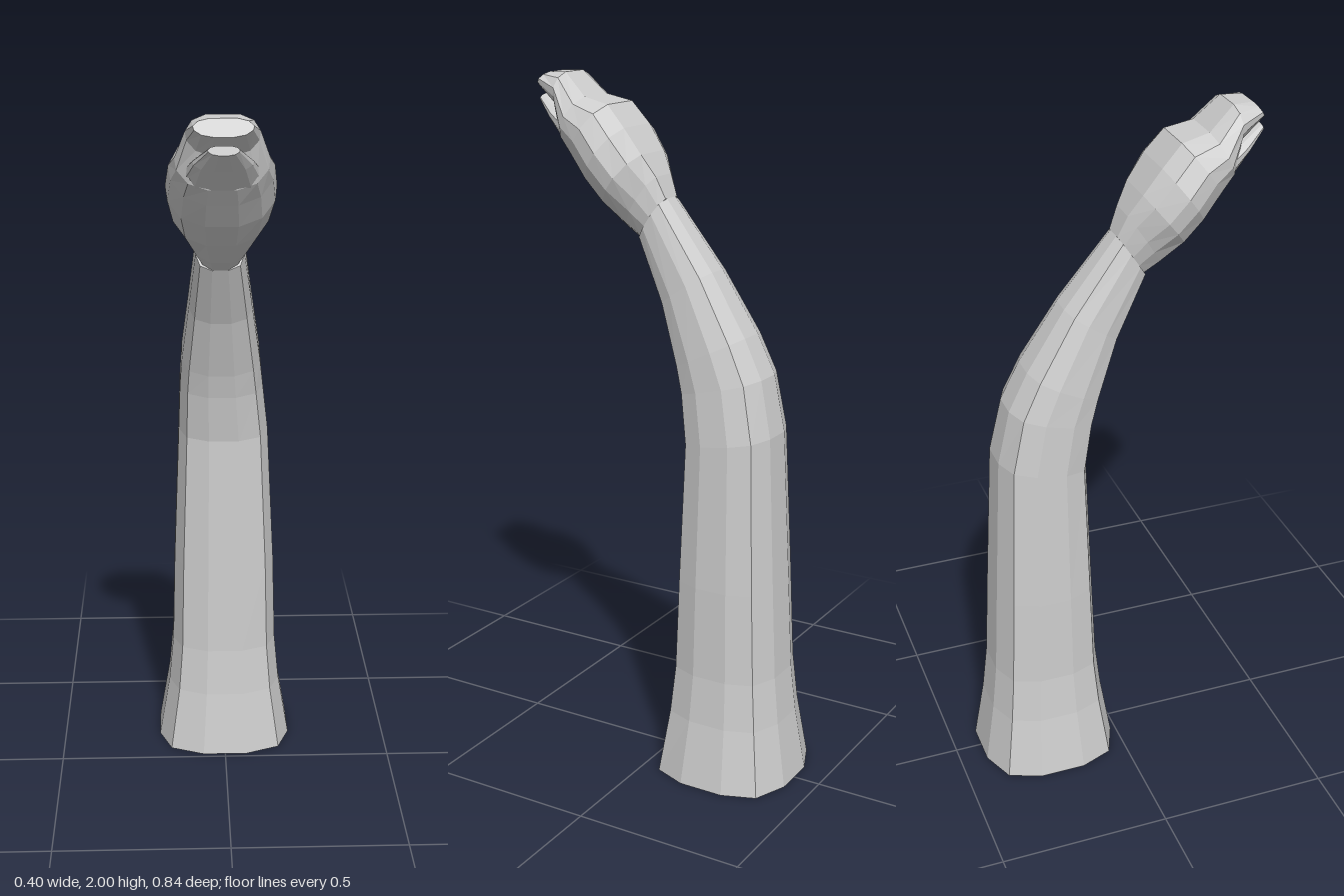
import * as THREE from 'three';

const skin = new THREE.MeshStandardMaterial({ color: 0xcccccc, flatShading: true });
skin.name = 'plain grey';

// Right half of a 12-sided cross-section: [width factor, back-to-front factor]
const neckHalf = [[0.33, 1], [0.82, 0.8], [1, 0.33], [1, -0.33], [0.82, -0.8], [0.33, -1]];
const headHalf = [[0.46, 1], [0.82, 0.72], [1, 0.2], [0.96, -0.25], [0.72, -0.75], [0.3, -1]];

// Skin a row of sections: [front z, front y, back z, back y, half width, centre x]
function loft(name, half, sections) {
  const ring = [...half, ...half.map(([x, t]) => [-x, t]).reverse()];
  const n = ring.length;
  const pos = [];
  const index = [];
  for (const [fz, fy, bz, by, hw, cx] of sections) {
    for (const [px, t] of ring) {
      const k = (t + 1) / 2;
      pos.push(cx + hw * px, fy + (by - fy) * k, fz + (bz - fz) * k);
    }
  }
  for (let i = 0; i < sections.length - 1; i++) {
    for (let j = 0; j < n; j++) {
      const a = i * n + j, b = i * n + (j + 1) % n;
      index.push(a, a + n, b, b, a + n, b + n);
    }
  }
  // End caps
  const last = (sections.length - 1) * n;
  for (let j = 1; j < n - 1; j++) {
    index.push(0, j, j + 1, last, last + j + 1, last + j);
  }
  const indexed = new THREE.BufferGeometry();
  indexed.setAttribute('position', new THREE.Float32BufferAttribute(pos, 3));
  indexed.setIndex(index);
  const geometry = indexed.toNonIndexed();
  geometry.computeVertexNormals();
  const mesh = new THREE.Mesh(geometry, skin);
  mesh.name = name;
  return mesh;
}

export function createModel() {
  const model = new THREE.Group();
  model.name = 'longNeckedCreature';

  // Flared base, upright column, then the bend forward to the throat
  model.add(loft('neck', neckHalf, [
    [-0.015, 0, -0.42, 0, 0.202, 0],
    [-0.045, 0.19, -0.39, 0.19, 0.17, 0],
    [-0.06, 0.33, -0.375, 0.33, 0.157, 0],
    [-0.07, 0.6, -0.362, 0.6, 0.15, 0],
    [-0.083, 1.0, -0.34, 1.04, 0.132, -0.002],
    [-0.062, 1.14, -0.305, 1.2, 0.121, -0.008],
    [-0.045, 1.21, -0.25, 1.31, 0.113, -0.01],
    [0.01, 1.38, -0.14, 1.48, 0.09, -0.013],
    [0.09, 1.55, 0.01, 1.67, 0.067, -0.017],
  ]));

  const head = new THREE.Group();
  head.name = 'head';
  // Skull and upper jaw
  head.add(loft('skull', headHalf, [
    [0.09, 1.55, 0.01, 1.67, 0.067, -0.017],
    [0.13, 1.58, 0.035, 1.73, 0.09, -0.017],
    [0.19, 1.64, 0.07, 1.79, 0.132, -0.017],
    [0.24, 1.70, 0.12, 1.86, 0.147, -0.017],
    [0.29, 1.765, 0.175, 1.92, 0.138, -0.017],
    [0.325, 1.81, 0.255, 1.937, 0.122, -0.017],
    [0.345, 1.90, 0.325, 2.0, 0.095, -0.017],
    [0.41, 1.955, 0.385, 1.998, 0.076, -0.017],
  ]));
  // Lower jaw, slightly open and longer than the upper lip
  head.add(loft('lowerJaw', headHalf, [
    [0.32, 1.805, 0.28, 1.885, 0.1, -0.017],
    [0.375, 1.865, 0.345, 1.905, 0.077, -0.017],
    [0.42, 1.912, 0.413, 1.935, 0.04, -0.017],
  ]));
  model.add(head);
  return model;
}
